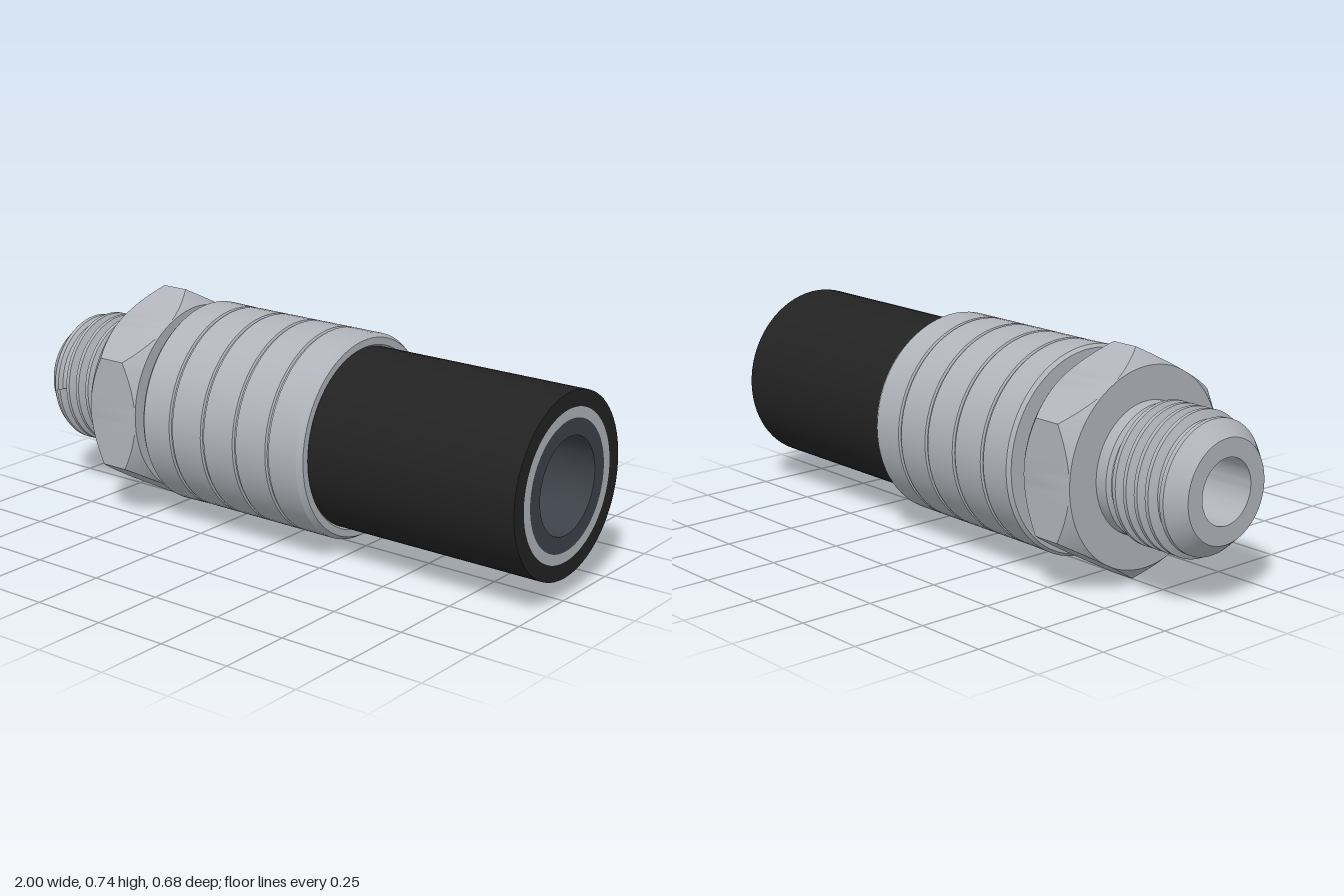
import * as THREE from 'three';
import { toCreasedNormals } from 'three/addons/utils/BufferGeometryUtils.js';

const steel = new THREE.MeshStandardMaterial({ color: 0xb0b4ba });
steel.name = 'steel';
const rubber = new THREE.MeshStandardMaterial({ color: 0x222222 });
rubber.name = 'black rubber';
const lining = new THREE.MeshStandardMaterial({ color: 0x3d4149 });
lining.name = 'dark grey lining';

const AXIS_Y = 0.372; // height of the centre line

// Spin a profile of [x, radius] points around the x axis; rule may move vertices.
function spin(name, profile, material, segments = 72, rule = null) {
  const points = profile.map(([x, r]) => new THREE.Vector2(r, x));
  let geometry = new THREE.LatheGeometry(points, segments);
  if (rule) {
    const pos = geometry.attributes.position;
    const n = profile.length;
    for (let i = 0; i < pos.count; i++) {
      const angle = (Math.floor(i / n) / segments) * Math.PI * 2;
      const [x, r] = rule(angle, i % n, profile[i % n]);
      pos.setXYZ(i, r * Math.sin(angle), x, r * Math.cos(angle));
    }
  }
  geometry = toCreasedNormals(geometry, 0.4);
  geometry.rotateZ(-Math.PI / 2);
  const mesh = new THREE.Mesh(geometry, material);
  mesh.name = name;
  return mesh;
}

// Closed tube with square ends
function tube(name, x0, x1, inner, outer, material) {
  return spin(name, [[x0, inner], [x0, outer], [x1, outer], [x1, inner], [x0, inner]], material);
}

// Hexagonal nut with corners up and down, chamfered at both ends
function makeNut() {
  const x0 = -0.668, x1 = -0.466, apothem = 0.322;
  const profile = [[x0, 0.15], [x0, apothem], [x0, apothem], [x1, apothem], [x1, apothem], [x1, 0.15]];
  return spin('hexNut', profile, steel, 96, (angle, k, [x, r]) => {
    if (k !== 2 && k !== 3) return [x, r];
    const sector = Math.PI / 3;
    const offset = ((angle + sector / 2) % sector) - sector / 2;
    const hex = apothem / Math.cos(offset);
    const cut = 0.001 + (hex - apothem) * 1.05;
    return [k === 2 ? x0 + cut : x1 - cut, hex];
  });
}

// Helical thread ridges wrapped around the nose
function makeThread() {
  const pitch = 0.045, turns = 4, start = -0.935;
  const profile = [];
  for (let i = 0; i < turns; i++) {
    const x = start + i * pitch;
    profile.push([x, 0.198], [x + 0.014, 0.227], [x + 0.027, 0.227], [x + 0.041, 0.198]);
  }
  return spin('thread', profile, steel, 72,
    (angle, k, [x, r]) => [x + (pitch * angle) / (Math.PI * 2), r]);
}

// Crimped sleeve with evenly spaced grooves
function makeSleeve() {
  const r = 0.342;
  const profile = [[-0.42, 0.2], [-0.42, 0.332], [-0.408, r]];
  for (let i = 0; i < 4; i++) {
    const x = -0.293 + i * 0.134;
    profile.push([x - 0.007, r - 0.002], [x - 0.003, r - 0.009], [x + 0.003, r - 0.009], [x + 0.007, r - 0.002]);
  }
  profile.push([0.226, r - 0.002], [0.245, 0.328], [0.245, 0.304], [0.236, 0.297], [-0.39, 0.297]);
  return spin('crimpSleeve', profile, steel);
}

export function createModel() {
  const model = new THREE.Group();
  model.name = 'hoseFitting';
  const assembly = new THREE.Group();
  assembly.name = 'fittingAssembly';
  assembly.position.y = AXIS_Y;

  assembly.add(
    // Nose, bore and insert tail in one turned piece
    spin('noseAndTail', [
      [-1, 0.105], [-1, 0.165], [-0.945, 0.212], [-0.93, 0.212], [-0.92, 0.2],
      [-0.72, 0.2], [-0.71, 0.213], [-0.6, 0.213], [-0.6, 0.154],
      [0.195, 0.154], [0.206, 0.151], [0.21, 0.143], [0.21, 0.105], [-1, 0.105],
    ], steel),
    makeThread(),
    makeNut(),
    tube('neck', -0.48, -0.41, 0.15, 0.25, steel),
    makeSleeve(),
    // Layers of the hose, from outside to inside
    tube('hoseCover', -0.39, 1, 0.245, 0.298, rubber),
    tube('hoseReinforcement', -0.39, 1, 0.211, 0.245, steel),
    tube('hoseLining', -0.39, 1, 0.157, 0.211, lining),
  );
  model.add(assembly);
  return model;
}
